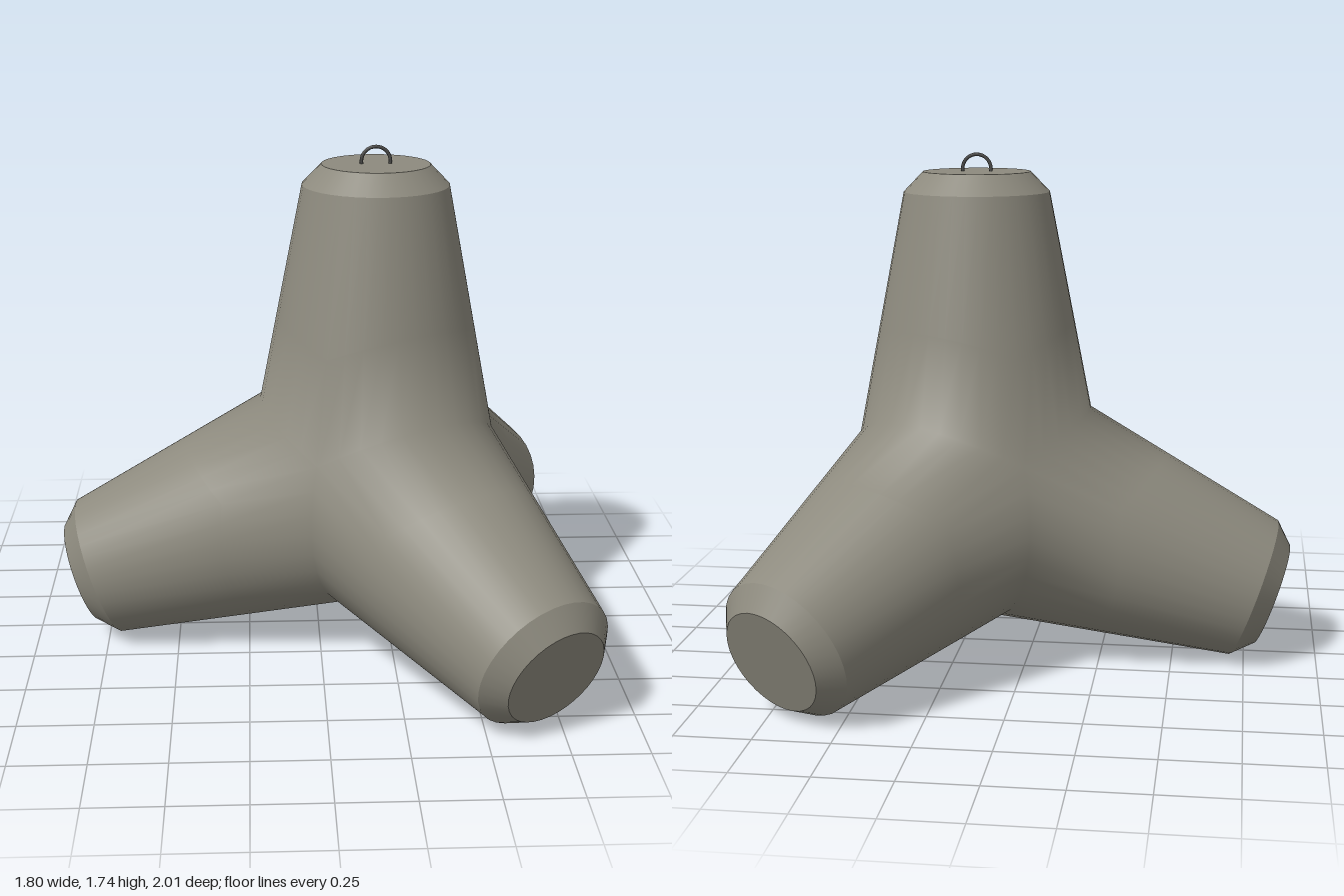
import * as THREE from 'three';
import { mergeVertices } from 'three/addons/utils/BufferGeometryUtils.js';

const SEG = 36;                  // sides of each leg
const LENGTH = 1.098;            // hub centre to end face
const SHOULDER = 1.03;           // hub centre to start of the chamfer
const R_HUB = 0.45, R_SHOULDER = 0.25, R_END = 0.184;
const HUB = new THREE.Vector3(0.193, 0.585, 0);
const TAPER = (R_HUB - R_SHOULDER) / SHOULDER;
const COS = Math.sqrt(8) / 3;    // horizontal reach of a lower leg

// One leg upright, three leaning down at tetrahedral angles
const directions = [new THREE.Vector3(0, 1, 0)];
for (const deg of [180, 60, -60]) {
  const a = THREE.MathUtils.degToRad(deg);
  directions.push(new THREE.Vector3(COS * Math.cos(a), -1 / 3, COS * Math.sin(a)));
}

// Right-handed frame with y along the leg and x leaning towards a neighbour
function legFrame(i) {
  const y = directions[i].clone().normalize();
  const other = directions[(i + 1) % 4];
  const x = other.clone().addScaledVector(y, -other.dot(y)).normalize();
  return new THREE.Matrix4().makeBasis(x, y, x.clone().cross(y)).setPosition(HUB);
}

// Distance along the leg at which its cone meets the nearest neighbour
function seamDistance(angle) {
  const step = (2 * Math.PI) / 3;
  const c = COS * Math.cos(angle - Math.round(angle / step) * step);
  return (c * R_HUB) / (4 / 3 + c * TAPER);
}

// Four tapered legs joined along their seams into one smooth skin
function bodyGeometry() {
  const positions = [], indices = [];
  const p = new THREE.Vector3();
  const bands = [0, 0.4, 1];
  directions.forEach((_, i) => {
    const frame = legFrame(i), base = positions.length / 3;
    bands.forEach((t, k) => {
      for (let j = 0; j < SEG; j++) {
        const angle = (j / SEG) * Math.PI * 2;
        const d = THREE.MathUtils.lerp(seamDistance(angle), SHOULDER, t);
        const r = R_HUB - TAPER * d;
        p.set(r * Math.cos(angle), d, -r * Math.sin(angle)).applyMatrix4(frame);
        positions.push(p.x, p.y, p.z);
        if (k === 0) continue;
        const next = (j + 1) % SEG;
        const a = base + (k - 1) * SEG + j, b = base + (k - 1) * SEG + next;
        const c = base + k * SEG + next, e = base + k * SEG + j;
        indices.push(a, b, c, a, c, e);
      }
    });
  });
  const raw = new THREE.BufferGeometry();
  raw.setAttribute('position', new THREE.Float32BufferAttribute(positions, 3));
  raw.setIndex(indices);
  const geometry = mergeVertices(raw, 1e-4);
  geometry.computeVertexNormals();
  return geometry;
}

export function createModel() {
  const concrete = new THREE.MeshStandardMaterial({ name: 'concrete', color: 0x8d8a7e });
  const steel = new THREE.MeshStandardMaterial({ name: 'dark steel', color: 0x4a4a48 });

  const model = new THREE.Group();
  model.name = 'tetrapod';
  const add = (name, geometry, material) => {
    const mesh = new THREE.Mesh(geometry, material);
    mesh.name = name;
    model.add(mesh);
    return mesh;
  };

  add('legs', bodyGeometry(), concrete);

  // Chamfer and flat end face on every leg
  const names = ['topLeg', 'rightLeg', 'frontLeftLeg', 'backLeftLeg'];
  names.forEach((name, i) => {
    const frame = legFrame(i);
    const chamfer = new THREE.CylinderGeometry(R_END, R_SHOULDER, LENGTH - SHOULDER, SEG, 1, true);
    chamfer.translate(0, (LENGTH + SHOULDER) / 2, 0).applyMatrix4(frame);
    add(name + 'Chamfer', chamfer, concrete);
    const end = new THREE.CircleGeometry(R_END, SEG);
    end.rotateX(-Math.PI / 2).translate(0, LENGTH, 0).applyMatrix4(frame);
    add(name + 'End', end, concrete);
  });

  // Lifting eye, half sunk into the top face
  const eye = add('liftingEye', new THREE.TorusGeometry(0.049, 0.006, 8, 32), steel);
  eye.position.set(HUB.x, HUB.y + LENGTH + 0.008, 0);

  return model;
}
